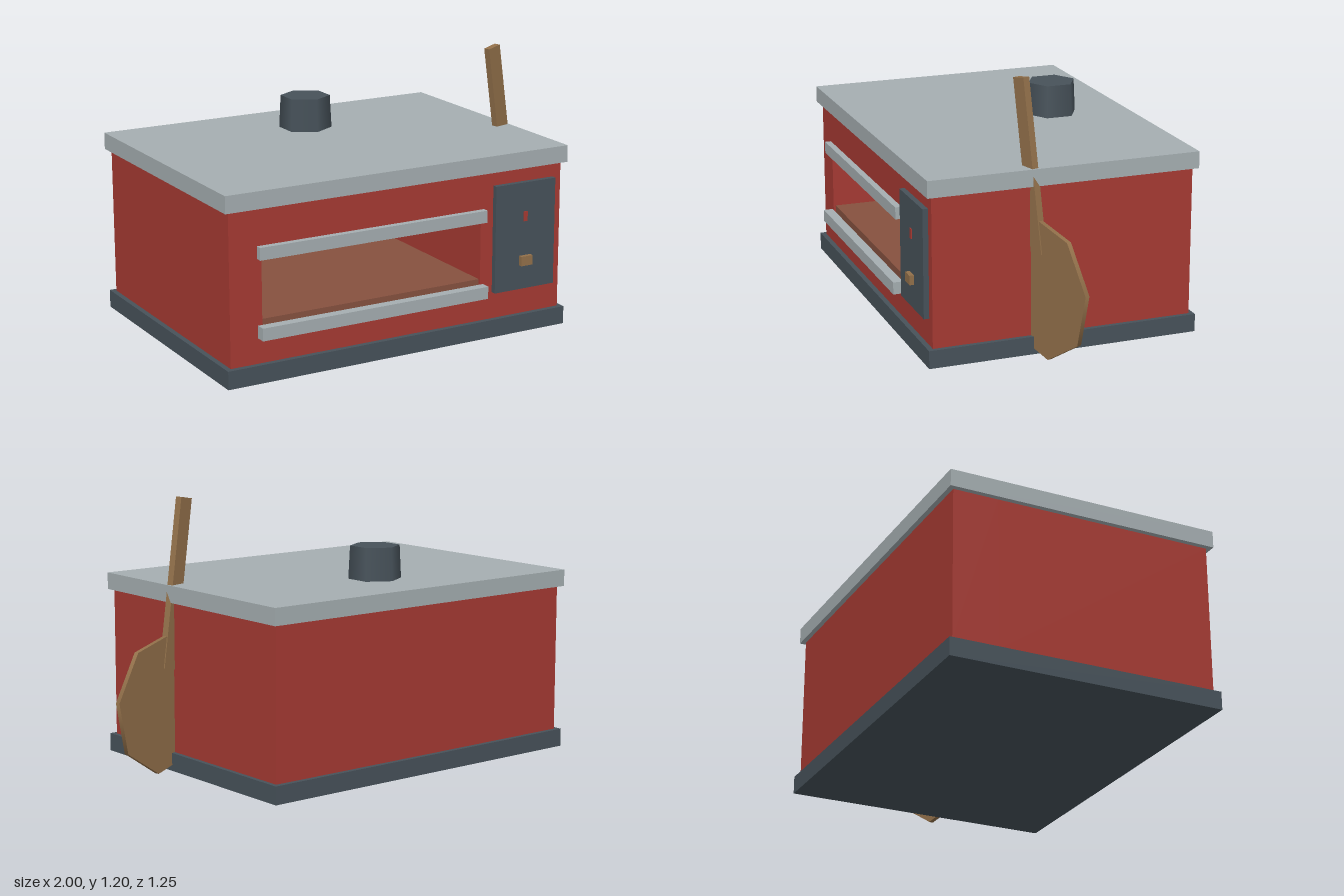
import * as THREE from 'three';

const mat = (name, color) => new THREE.MeshStandardMaterial({ name, color });

export function createModel() {
  const red = mat('red enamel', 0xa63a33);
  const steel = mat('light steel', 0xa5aeb1);
  const dark = mat('dark steel', 0x47525a);
  const wood = mat('wood', 0x92704a);
  const brick = mat('hearth brick', 0x86513f);
  const glow = mat('oven glow', 0xcd8c3a);

  const model = new THREE.Group();
  model.name = 'bakingOven';

  const add = (name, geometry, material, parent = model) => {
    const mesh = new THREE.Mesh(geometry, material);
    mesh.name = name;
    parent.add(mesh);
    return mesh;
  };
  // Box given by its limits on each axis
  const box = (name, material, [x0, x1], [y0, y1], [z0, z1], parent) => {
    const mesh = add(name, new THREE.BoxGeometry(x1 - x0, y1 - y0, z1 - z0), material, parent);
    mesh.position.set((x0 + x1) / 2, (y0 + y1) / 2, (z0 + z1) / 2);
    return mesh;
  };
  const rect = (Type, x0, x1, y0, y1) => new Type([
    new THREE.Vector2(x0, y0), new THREE.Vector2(x1, y0),
    new THREE.Vector2(x1, y1), new THREE.Vector2(x0, y1),
  ]);

  // Base and lid overhang the body
  box('base', dark, [-1, 0.662], [0, 0.08], [-0.622, 0.603]);
  box('lid', steel, [-1, 0.662], [0.745, 0.82], [-0.622, 0.603]);

  // Body with the baking chamber cut into its front
  const front = rect(THREE.Shape, -0.977, 0.642, 0.08, 0.745);
  front.holes.push(rect(THREE.Path, -0.83, 0.23, 0.22, 0.56));
  add('body', new THREE.ExtrudeGeometry(front, { depth: 0.98, bevelEnabled: false }), red)
    .position.z = -0.4;
  box('bodyBack', red, [-0.977, 0.642], [0.08, 0.745], [-0.6, -0.4]);

  // Chamber lining
  box('hearthFloor', brick, [-0.83, 0.23], [0.22, 0.267], [-0.4, 0.57]);
  box('chamberGlow', glow, [-0.8, 0.203], [0.267, 0.56], [-0.4, -0.392]);

  // Rails above and below the opening
  box('upperRail', steel, [-0.85, 0.245], [0.53, 0.584], [0.58, 0.609]);
  box('lowerRail', steel, [-0.85, 0.245], [0.19, 0.245], [0.58, 0.624]);

  // Control panel
  box('controlPanel', dark, [0.292, 0.6], [0.2, 0.682], [0.58, 0.604]);
  box('indicatorLight', red, [0.435, 0.455], [0.508, 0.552], [0.603, 0.608]);
  box('controlKnob', wood, [0.416, 0.474], [0.31, 0.353], [0.604, 0.624]);

  // Six-sided chimney
  add('chimney', new THREE.CylinderGeometry(0.111, 0.119, 0.16, 6).toNonIndexed(), dark)
    .position.set(-0.166, 0.887, -0.273);

  // Peel leaning against the side
  const peel = new THREE.Group();
  peel.name = 'peel';
  peel.position.set(0.703, 0.308, 0.113);
  peel.rotation.set(0, THREE.MathUtils.degToRad(15.5), THREE.MathUtils.degToRad(9.8));
  model.add(peel);
  add('peelBlade', new THREE.CylinderGeometry(0.307, 0.307, 0.02, 8), wood, peel)
    .rotation.x = Math.PI / 2;
  box('peelHandle', wood, [-0.036, 0.036], [0.15, 0.896], [-0.015, 0.015], peel);

  return model;
}
